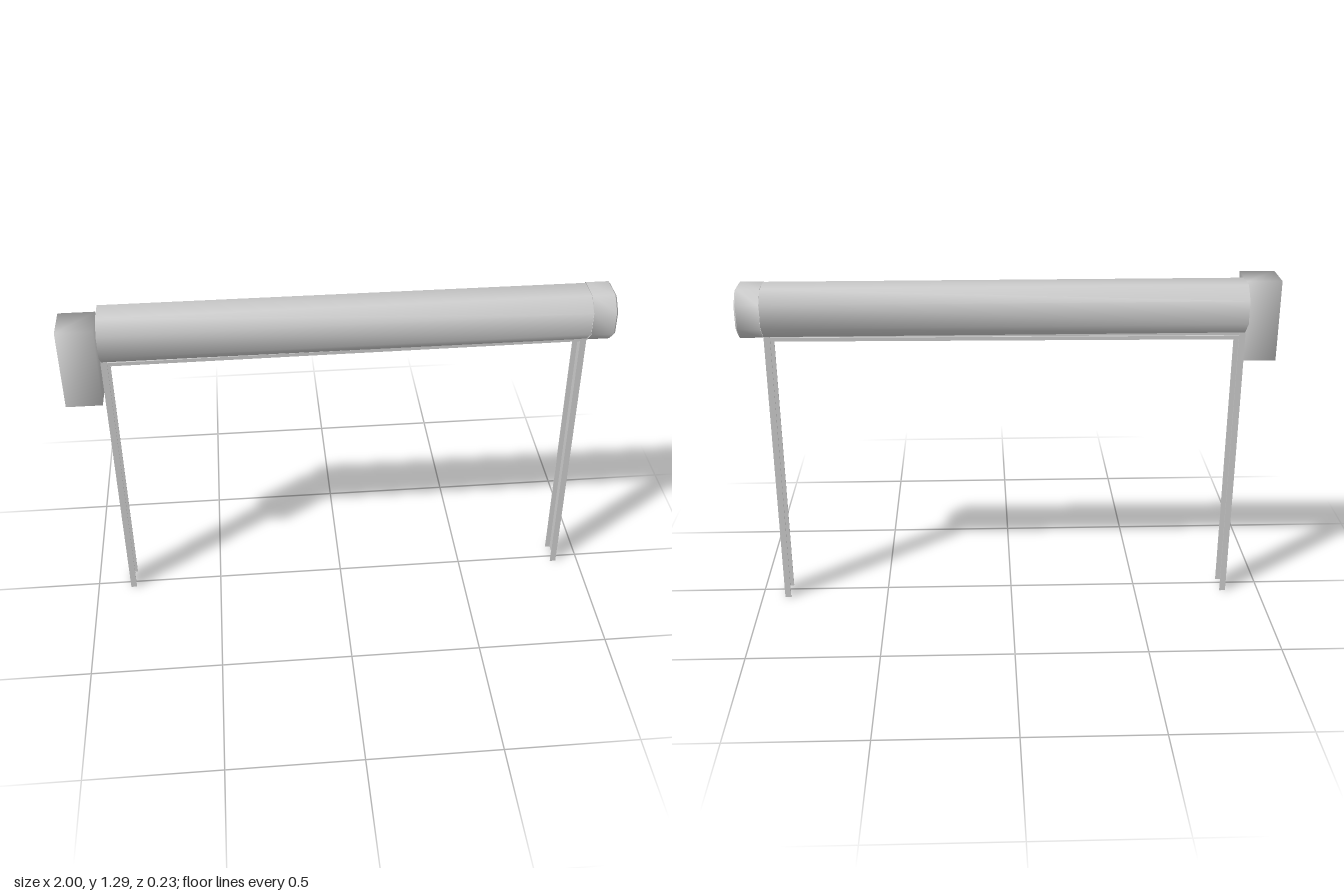
import * as THREE from 'three';
import { mergeVertices } from 'three/addons/utils/BufferGeometryUtils.js';

const TUBE_Y = 1.194, TUBE_Z = -0.017;

// Eight-sided outline in (z, y) around the tube axis
function octagon(halfW, halfH, cut) {
  const a = halfW - cut, b = halfH - cut;
  return [[halfW, -b], [halfW, b], [a, halfH], [-a, halfH],
    [-halfW, b], [-halfW, -b], [-a, -halfH], [a, -halfH]];
}

// Smooth-shaded skin joining octagonal rings, rings = [[x, outline], ...]
function loft(rings) {
  const pos = [], idx = [];
  for (const [x, pts] of rings) for (const [z, y] of pts) pos.push(x, y, z);
  for (let r = 0; r < rings.length - 1; r++) {
    for (let i = 0; i < 8; i++) {
      const a = r * 8 + i, b = r * 8 + (i + 1) % 8;
      idx.push(a, a + 8, b, b, a + 8, b + 8);
    }
  }
  const g = new THREE.BufferGeometry();
  g.setAttribute('position', new THREE.Float32BufferAttribute(pos, 3));
  g.setIndex(idx);
  g.computeVertexNormals();
  return g;
}

// Box with softly blended shading across its edges
function softBox(w, h, d) {
  let g = new THREE.BoxGeometry(w, h, d);
  g.deleteAttribute('normal');
  g.deleteAttribute('uv');
  g = mergeVertices(g);
  g.computeVertexNormals();
  return g;
}

export function createModel() {
  const group = new THREE.Group();
  const mat = new THREE.MeshStandardMaterial({ color: 0xcccccc, side: THREE.DoubleSide });
  const add = (name, geo, x, y, z, parent = group) => {
    const m = new THREE.Mesh(geo, mat);
    m.name = name;
    m.position.set(x, y, z);
    parent.add(m);
    return m;
  };

  // Roller housing: long tube and the slightly larger end sleeve
  const body = octagon(0.094, 0.091, 0.047);
  const sleeve = octagon(0.097, 0.092, 0.047);
  const lip = octagon(0.090, 0.086, 0.044);
  add('rollerHousing', loft([[-0.866, body], [0.91, body]]), 0, TUBE_Y, TUBE_Z);
  add('endSleeve', loft([[0.91, sleeve], [0.994, sleeve]]), 0, TUBE_Y, TUBE_Z);
  add('endSleeveBevel', loft([[0.994, sleeve], [1, lip]]), 0, TUBE_Y, TUBE_Z);

  // Flat end caps, shape x runs along -z after turning to face +x
  const capGeo = (pts) => new THREE.ShapeGeometry(
    new THREE.Shape(pts.map(([z, y]) => new THREE.Vector2(-z, y)))).rotateY(Math.PI / 2);
  add('rightEndCap', capGeo(body).rotateY(Math.PI), -0.866, TUBE_Y, TUBE_Z);
  add('leftEndCap', capGeo(lip), 1, TUBE_Y, TUBE_Z);

  // Guide rails: upright channels, open towards the curtain
  const w = 0.023, d = 0.095, t = 0.004;
  const channel = new THREE.Shape([
    [0, -d / 2], [w, -d / 2], [w, -d / 2 + t], [t, -d / 2 + t],
    [t, d / 2 - t], [w, d / 2 - t], [w, d / 2], [0, d / 2],
  ].map(([x, y]) => new THREE.Vector2(x, y)));
  const railGeo = new THREE.ExtrudeGeometry(channel, { depth: 1.115, bevelEnabled: false })
    .rotateX(-Math.PI / 2);
  add('rightGuideRail', railGeo, -0.868, 0, -0.016);
  add('leftGuideRail', railGeo, 0.91, 0, -0.016).rotation.y = Math.PI;

  // Rolled-up curtain: last slat and bottom bar, hanging slightly askew
  const curtain = new THREE.Group();
  curtain.name = 'curtain';
  curtain.position.set(0.021, 1.07, -0.016);
  curtain.rotation.z = 0.005;
  group.add(curtain);
  add('lastSlat', new THREE.BoxGeometry(1.75, 0.04, 0.018), 0, 0.028, 0, curtain);
  add('bottomBar', new THREE.BoxGeometry(1.75, 0.014, 0.034), 0, 0.007, 0, curtain);

  // Drive unit beside the housing
  add('driveBox', softBox(0.132, 0.31, 0.135), -0.934, 1.13, 0.048);

  return group;
}
